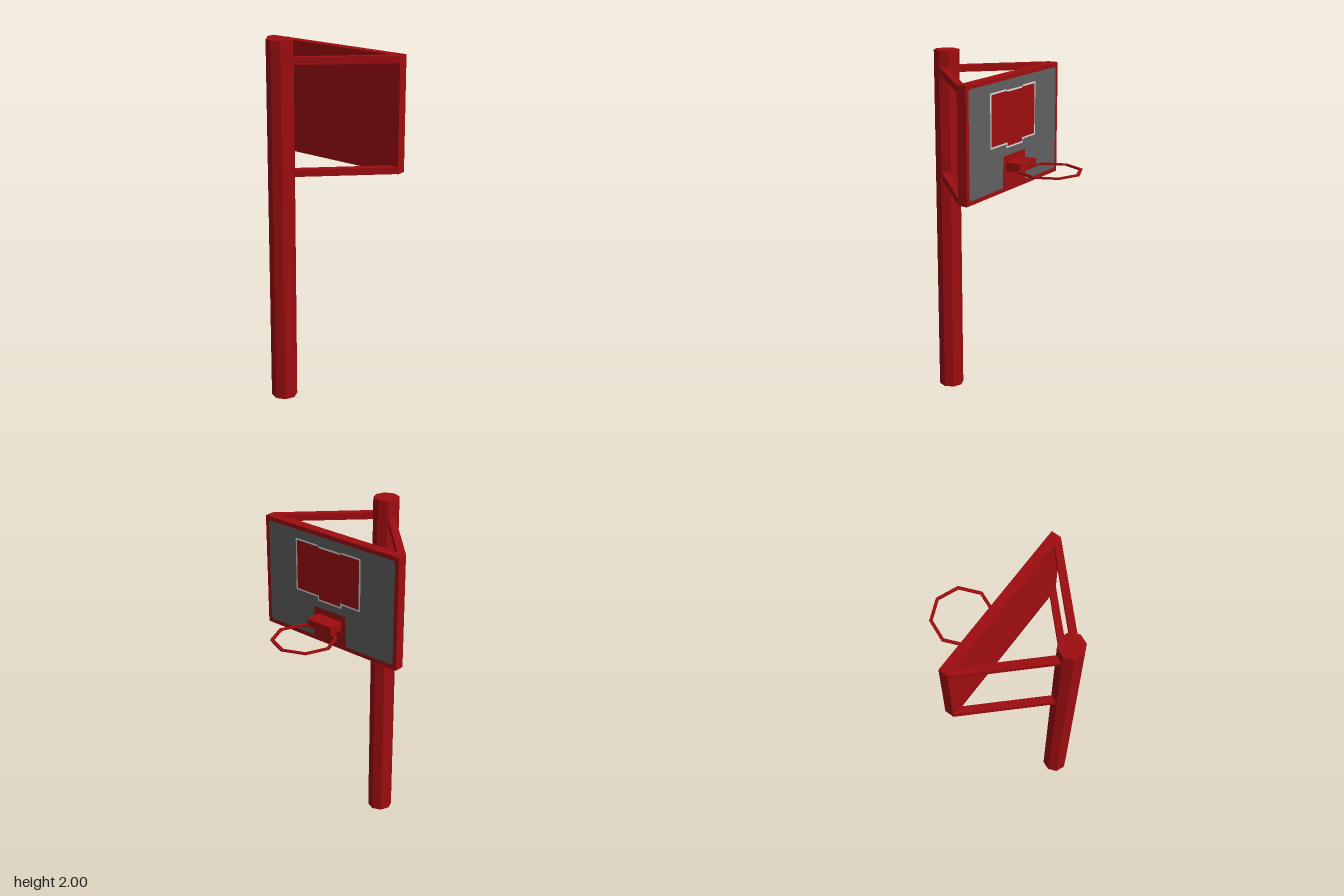
import * as THREE from 'three';

const mat = (name, color) => {
  const m = new THREE.MeshStandardMaterial({ color });
  m.name = name;
  return m;
};

const shapeOf = (pts) => new THREE.Shape(pts.map(([a, b]) => new THREE.Vector2(a, b)));

export function createModel() {
  const group = new THREE.Group();
  const red = mat('red paint', 0x9e0d10);
  const grey = mat('grey board', 0x606060);
  const white = mat('white line', 0xd8d8d8);

  const add = (name, geometry, material, x = 0, y = 0, z = 0) => {
    const mesh = new THREE.Mesh(geometry, material);
    mesh.name = name;
    mesh.position.set(x, y, z);
    group.add(mesh);
    return mesh;
  };

  // Horizontal slab: outline in (x, z), thickness going down from its top
  const slab = (name, shape, top, height) => {
    const g = new THREE.ExtrudeGeometry(shape, { depth: height, bevelEnabled: false });
    add(name, g.rotateX(Math.PI / 2), red, 0, top, 0);
  };

  // Face painted on the board front: outline in (-z, y)
  const paint = (name, pts, material, x) =>
    add(name, new THREE.ShapeGeometry(shapeOf(pts)).rotateY(Math.PI / 2), material, x);

  // Octagonal pole
  const pole = new THREE.CylinderGeometry(0.071, 0.071, 2, 8).toNonIndexed();
  pole.computeVertexNormals();
  add('pole', pole, red, -0.39, 1, -0.012);

  // Backboard slab
  add('backboard', new THREE.BoxGeometry(0.055, 0.63, 0.91), red, 0.0325, 1.595, 0);

  // Grey playing face, notched at the bottom around the hoop mount
  const c = 0.012;
  paint('boardFace', [
    [-0.432 + c, 1.304], [-0.112, 1.304], [-0.112, 1.42], [-0.106, 1.478],
    [0.106, 1.478], [0.112, 1.42], [0.112, 1.304], [0.432 - c, 1.304],
    [0.432, 1.304 + c], [0.432, 1.887 - c], [0.432 - c, 1.887],
    [-0.432 + c, 1.887], [-0.432, 1.887 - c], [-0.432, 1.304 + c],
  ], grey, 0.061);

  // Target: white outline with a red panel inside; t insets the outline
  const target = (t) => {
    const l = -0.237 + t, r = 0.211 - t, b = 1.54 + t, top = 1.838 - t;
    const s = 0.083 - t, low = 1.519 + t, mid = 1.832 - t;
    return [
      [l, b], [-s, b], [-s, low], [s, low], [s, b], [r, b],
      [r, top], [s, top], [s, mid], [-s, mid], [-s, top], [l, top],
    ];
  };
  paint('targetOutline', target(0), white, 0.062);
  paint('targetPanel', target(0.01), red, 0.063);

  // Four diagonal arms from the pole to the board corners
  const arms = [
    [[-0.385, -0.076], [0.005, -0.455], [0.005, -0.4], [-0.345, -0.06]],
    [[-0.385, 0.06], [0.005, 0.455], [0.005, 0.4], [-0.345, 0.045]],
  ];
  for (const [top, level] of [[1.91, 'upper'], [1.32, 'lower']]) {
    arms.forEach((pts, i) =>
      slab(level + (i ? 'FrontArm' : 'BackArm'), shapeOf(pts), top, 0.038));
  }

  // Hoop bracket
  add('hoopBracket', new THREE.BoxGeometry(0.09, 0.047, 0.165), red, 0.104, 1.418, -0.001);

  // Flat octagonal rim
  const octagon = (r) => Array.from({ length: 8 }, (_, i) => {
    const a = (i * Math.PI) / 4;
    return [0.281 + r * Math.cos(a), -0.014 + r * Math.sin(a)];
  });
  const rim = shapeOf(octagon(0.176));
  rim.holes.push(shapeOf(octagon(0.158)));
  slab('hoopRim', rim, 1.408, 0.009);

  return group;
}
